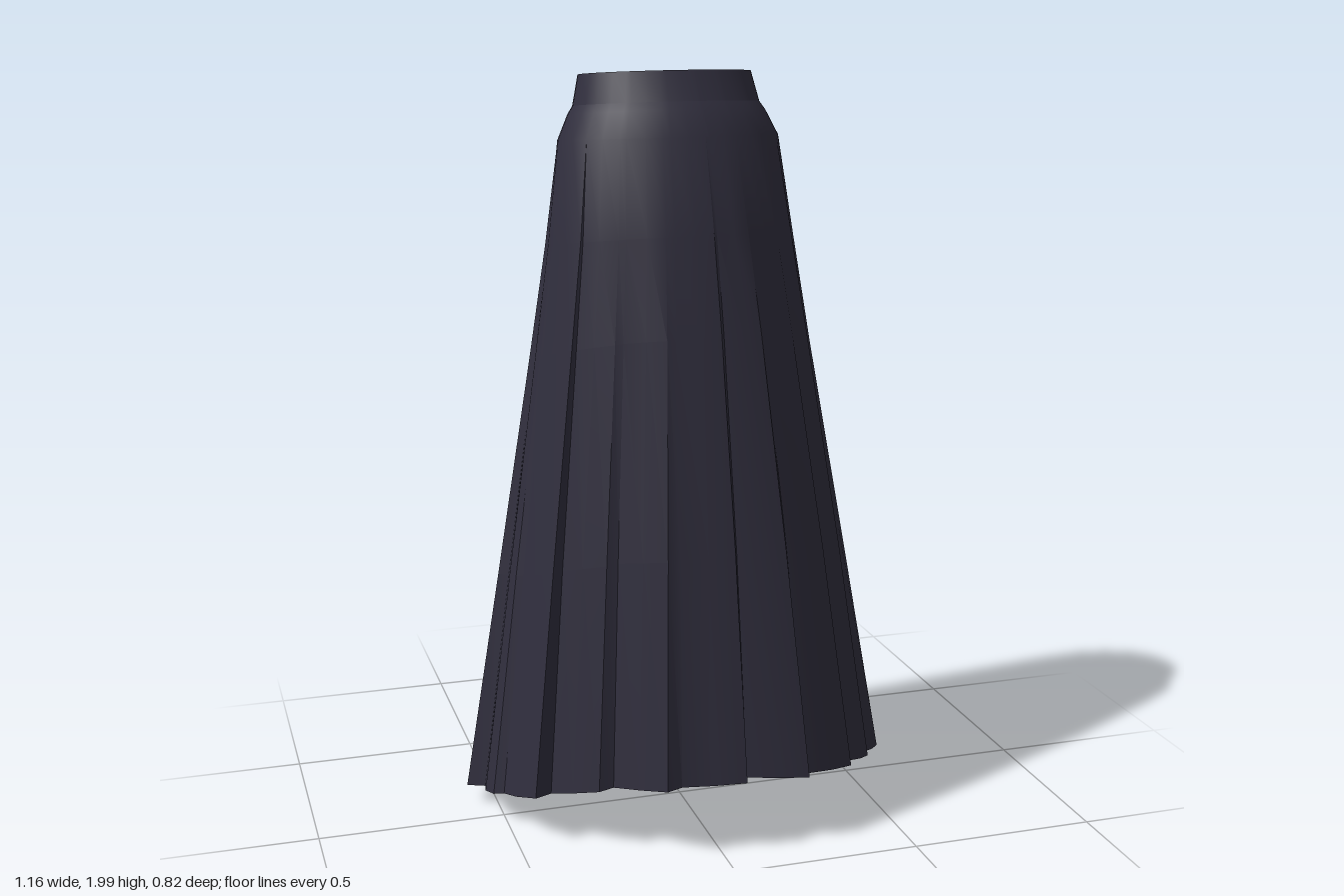
import * as THREE from 'three';
import { toCreasedNormals } from 'three/addons/utils/BufferGeometryUtils.js';

// Pleat folds along the hem, running from the front towards +x:
// outer edge x, z, then the fold-in x, z
const FOLDS = [
  [0.06, 0.41, 0.07, 0.375], [0.235, 0.4, 0.24, 0.37], [0.39, 0.305, 0.395, 0.255],
  [0.49, 0.18, 0.48, 0.135], [0.58, 0.03, 0.55, 0.015], [0.55, -0.16, 0.5, -0.152],
  [0.467, -0.262, 0.425, -0.245], [0.367, -0.33, 0.343, -0.318], [0.275, -0.387, 0.24, -0.363],
  [0.15, -0.402, 0.125, -0.38], [0.01, -0.415, 0.005, -0.383], [-0.12, -0.4, -0.122, -0.365],
  [-0.27, -0.37, -0.262, -0.34], [-0.39, -0.33, -0.4, -0.288], [-0.525, -0.24, -0.505, -0.2],
  [-0.58, -0.11, -0.535, -0.08], [-0.535, 0.04, -0.51, 0.057], [-0.455, 0.205, -0.41, 0.188],
  [-0.305, 0.29, -0.265, 0.284], [-0.15, 0.395, -0.108, 0.382],
];

// Rings: front y, back y, half width, front z, back z, pleat depth
const BAND = [
  [2.0, 1.967, 0.23, 0.036, -0.303, 0],
  [1.925, 1.885, 0.248, 0.075, -0.313, 0],
];
const SKIRT = [
  [1.925, 1.885, 0.248, 0.075, -0.313, 0],
  [1.905, 1.865, 0.262, 0.09, -0.318, 0],
  [1.84, 1.8, 0.293, 0.125, -0.324, 0],
  [1.6, 1.52, 0.33, 0.187, -0.343, 0.2],
  [1.35, 1.2, 0.375, 0.238, -0.363, 0.4],
  [0.8, 0.6, 0.468, 0.33, -0.388, 0.7],
  [0.21, 0.01, 0.56, 0.41, -0.405, 1],
];

// Hem outline as directions on a unit circle, with a slightly bulged middle per panel
function pleatColumns() {
  const unit = (x, z) => [x / 0.56, z / 0.41];
  const columns = [];
  FOLDS.forEach((f, i) => {
    const next = FOLDS[(i + 1) % FOLDS.length];
    const inner = unit(f[2], f[3]);
    const tip = unit(next[0], next[1]);
    const middle = [(inner[0] + tip[0]) * 0.51, (inner[1] + tip[1]) * 0.51];
    columns.push(unit(f[0], f[1]), inner, middle);
  });
  return columns.map(([x, z]) => ({ angle: Math.atan2(z, x), reach: Math.hypot(x, z) }));
}

function ringPoint([yf, yb, rx, zf, zb, depth], { angle, reach }) {
  const k = 1 + (reach - 1) * depth;
  const s = Math.sin(angle);
  const y = (yf + yb) / 2 + ((yf - yb) / 2) * s - 0.025 * depth * (1 - s * s);
  return [Math.cos(angle) * rx * k, y, (zf + zb) / 2 + ((zf - zb) / 2) * s * k];
}

function loft(rings, columns, crease) {
  const n = columns.length;
  const positions = [];
  const index = [];
  rings.forEach((ring, r) => columns.forEach((column, i) => {
    positions.push(...ringPoint(ring, column));
    if (r === rings.length - 1) return;
    const a = r * n + i;
    const d = r * n + (i + 1) % n;
    index.push(a, a + n, d + n, a, d + n, d);
  }));
  const geometry = new THREE.BufferGeometry();
  geometry.setAttribute('position', new THREE.Float32BufferAttribute(positions, 3));
  geometry.setIndex(index);
  return toCreasedNormals(geometry, crease);
}

// Flat tilted lid over the waist
function lid(ring, columns) {
  const [yf, yb, , zf, zb] = ring;
  const positions = [0, (yf + yb) / 2, (zf + zb) / 2];
  const index = [];
  columns.forEach((column, i) => {
    positions.push(...ringPoint(ring, column));
    index.push(0, i + 1, ((i + 1) % columns.length) + 1);
  });
  const geometry = new THREE.BufferGeometry();
  geometry.setAttribute('position', new THREE.Float32BufferAttribute(positions, 3));
  geometry.setIndex(index);
  geometry.computeVertexNormals();
  return geometry;
}

export function createModel() {
  const cloth = new THREE.MeshStandardMaterial({ color: 0x302e3d, side: THREE.DoubleSide });
  cloth.name = 'dark cloth';

  const model = new THREE.Group();
  model.name = 'pleatedSkirt';
  const columns = pleatColumns();
  const add = (name, geometry) => {
    const mesh = new THREE.Mesh(geometry, cloth);
    mesh.name = name;
    model.add(mesh);
  };

  add('waistLid', lid(BAND[0], columns));
  add('waistband', loft(BAND, columns, 0.7));
  add('pleats', loft(SKIRT, columns, 0.45));
  return model;
}
